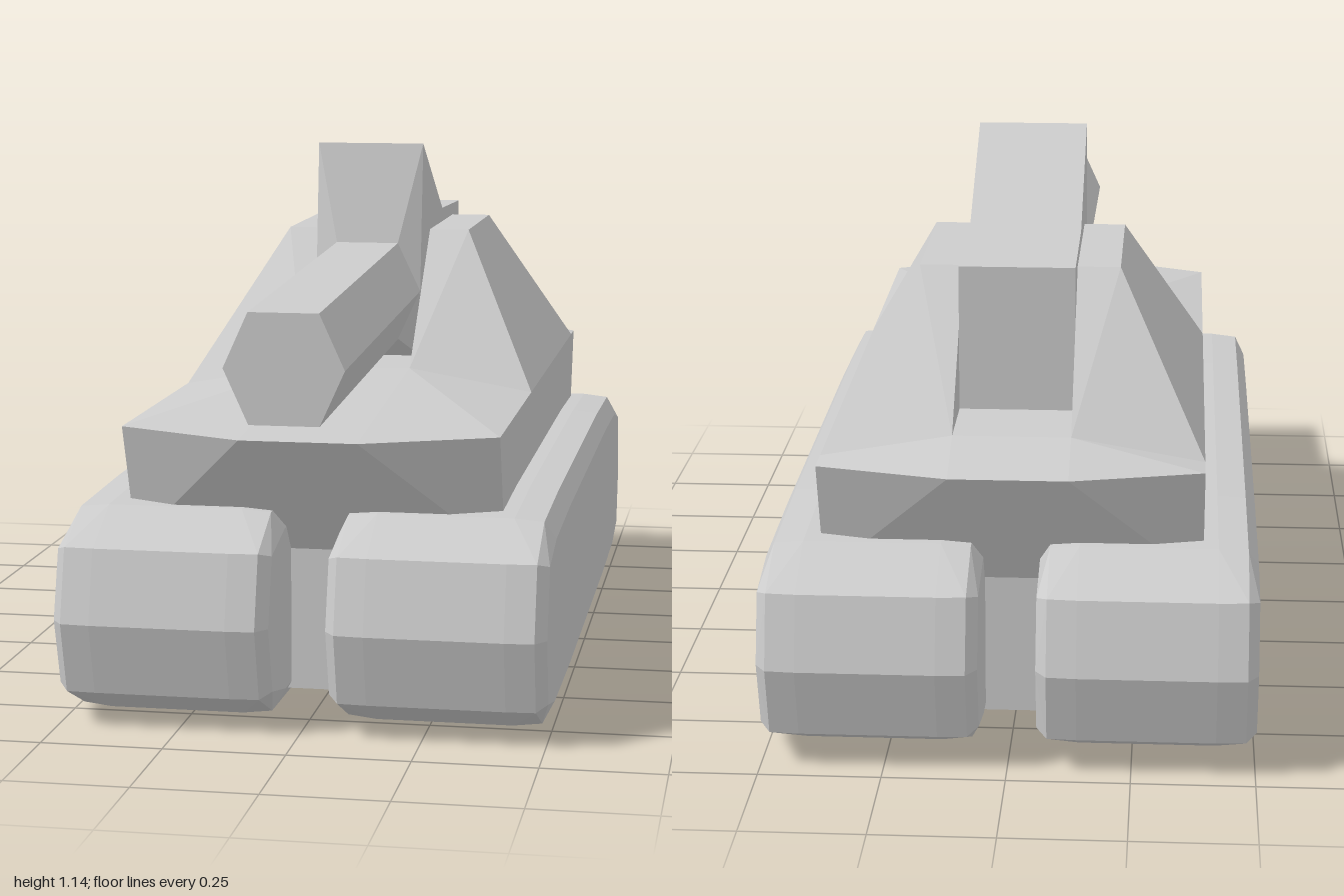
import * as THREE from 'three';
import { ConvexGeometry } from 'three/addons/geometries/ConvexGeometry.js';

const grey = new THREE.MeshStandardMaterial({ color: 0xcccccc });
grey.name = 'light grey';

function add(parent, name, geometry) {
  const mesh = new THREE.Mesh(geometry, grey);
  mesh.name = name;
  parent.add(mesh);
  return mesh;
}

// Faceted solid around a few corner points
const solid = (points) => new ConvexGeometry(points.map((p) => new THREE.Vector3(...p)));

// The same points on both sides of the centre line
const mirrored = (points) => points.flatMap(([x, y, z]) => [[x, y, z], [-x, y, z]]);

// Track: bevelled outline repeated across the width, slightly crowned in the middle
function trackGeometry() {
  const sections = [
    { x: 0.222, ends: 0.035, height: 0.175 },
    { x: 0.2, ends: 0.004, height: 0.215 },
    { x: 0.14, ends: 0, height: 0.221 },
  ];
  const points = [];
  for (const { x, ends, height } of sections) {
    const shoulder = Math.min(0.15, height - 0.035);
    const outline = [[0.96, 0], [0.92, shoulder], [0.79, height - 0.006], [0.49, height + 0.002]];
    for (const [z, y] of outline) {
      for (const sz of [-1, 1]) {
        for (const sy of [-1, 1]) {
          points.push([x, 0.226 + sy * y, -0.04 + sz * (z - ends)]);
        }
      }
    }
  }
  return solid(mirrored(points));
}

export function createModel() {
  const model = new THREE.Group();
  model.name = 'tank';

  // Tracks
  const track = trackGeometry();
  for (const side of [-1, 1]) {
    add(model, side > 0 ? 'leftTrack' : 'rightTrack', track).position.x = side * 0.28;
  }

  // Lower hull between the tracks
  const belly = add(model, 'lowerHull', new THREE.BoxGeometry(0.56, 0.31, 1.39));
  belly.position.set(0, 0.195, -0.045);

  // Upper hull with pointed ends and sloping deck
  add(model, 'upperHull', solid(mirrored([
    [0.39, 0.34, 0.65], [0.12, 0.34, 0.65],
    [0.39, 0.34, -0.75], [0.12, 0.34, -0.74],
    [0.39, 0.605, 0.75], [0.12, 0.605, 0.87],
    [0.39, 0.605, -0.84], [0.12, 0.605, -0.905],
    [0.12, 0.655, 0.195], [0.12, 0.655, -0.78],
  ])));

  // Sloped armour on either side of the turret
  for (const s of [-1, 1]) {
    add(model, s > 0 ? 'leftArmour' : 'rightArmour', solid([
      [0.39, 0.605, 0.175], [0.39, 0.605, -0.77],
      [0.12, 0.655, 0.195], [0.12, 0.655, -0.78],
      [0.12, 0.6, 0.175], [0.12, 0.6, -0.77],
      [0.12, 0.935, -0.11], [0.12, 0.935, -0.49],
      [0.21, 0.935, -0.11], [0.21, 0.935, -0.49],
    ].map(([x, y, z]) => [s * x, y, z])));
  }

  // Turret: side profile extruded across the width (shape x runs towards the rear)
  const profile = new THREE.Shape([
    [0, 0.62], [0.6, 0.62], [0.6, 0.96], [0.31, 0.967], [0, 1.14],
  ].map(([x, y]) => new THREE.Vector2(x, y)));
  const turret = new THREE.ExtrudeGeometry(profile, { depth: 0.24, bevelEnabled: false });
  turret.translate(0, 0, -0.12).rotateY(Math.PI / 2);
  add(model, 'turret', turret);

  // Gun mount tapering from the turret face to the barrel
  add(model, 'gunMount', solid(mirrored([
    [0.12, 0.65, 0], [0.12, 1.14, 0],
    [0.07, 0.918, 0.05], [0.12, 0.808, 0.04], [0.07, 0.7, 0.05],
  ])));

  // Six-sided barrel, drooping slightly towards the muzzle
  const barrel = [];
  for (const [z, y] of [[1, 0.77], [0, 0.81]]) {
    barrel.push([0.12, y, z], [0.07, y + 0.11, z], [0.07, y - 0.11, z]);
  }
  add(model, 'barrel', solid(mirrored(barrel)));

  return model;
}
